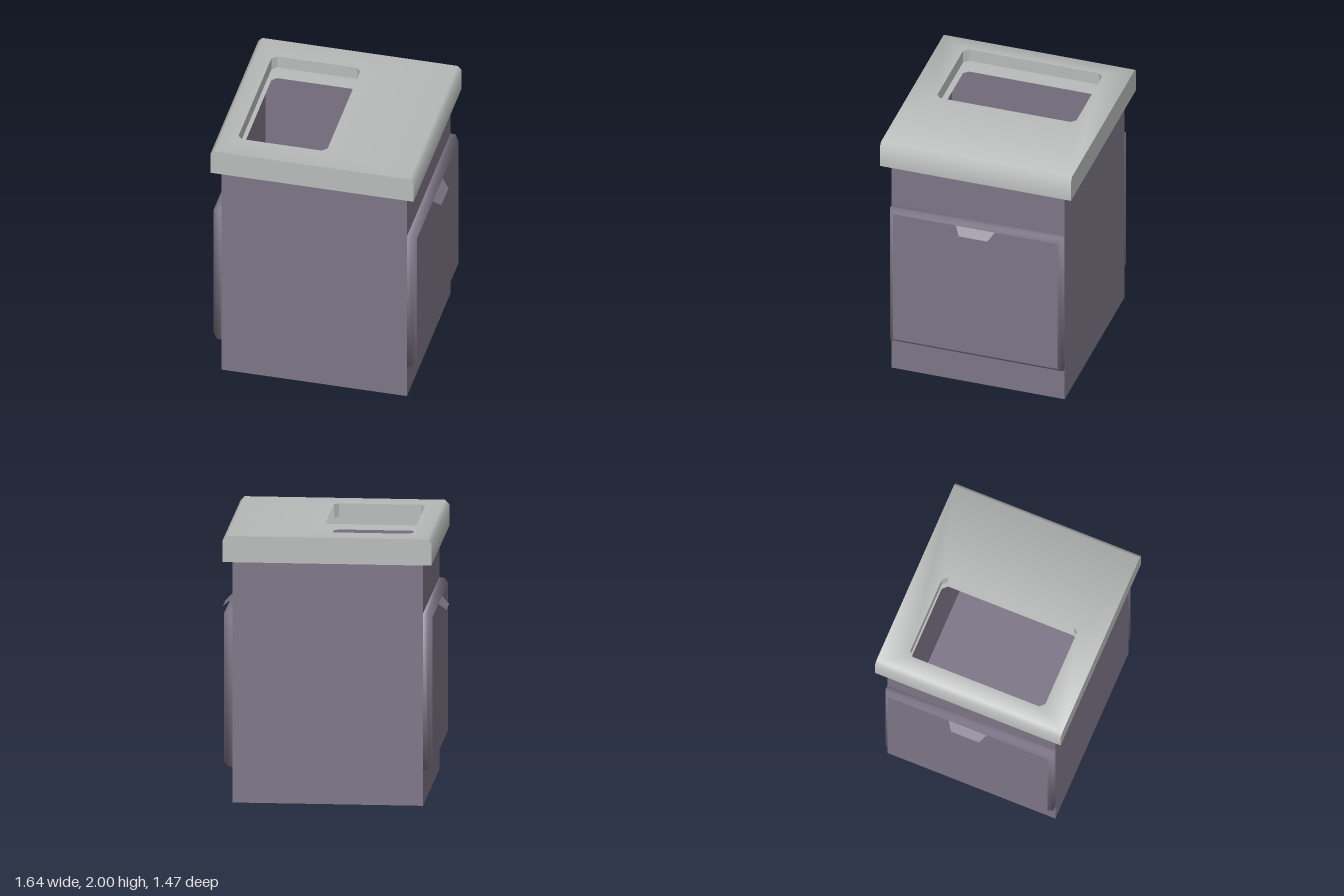
import * as THREE from 'three';

const grey = new THREE.MeshStandardMaterial({ color: 0xb9bbbb, side: THREE.DoubleSide });
grey.name = 'light grey';
const purple = new THREE.MeshStandardMaterial({ color: 0x7d7586 });
purple.name = 'dusty purple';

const TOP = 2, BASE = 1.805, CH = 0.03;       // lid top, lid underside, lid chamfer
const LX = 0.765, LZ = 0.735;                 // lid half sizes
const BX = 0.698, BZ = 0.665, WALL = 0.006;   // body half sizes, wall thickness

// octagonal opening, listed from the right edge round to the right edge again
const hole = [
  [0.06, 0.5], [0.025, 0.535], [-0.575, 0.535], [-0.61, 0.5],
  [-0.61, -0.5], [-0.575, -0.535], [0.025, -0.535], [0.06, -0.5],
];

function add(parent, name, geometry, material) {
  const m = new THREE.Mesh(geometry, material);
  m.name = name;
  parent.add(m);
  return m;
}

function buffer(positions, index, normals) {
  const g = new THREE.BufferGeometry();
  g.setAttribute('position', new THREE.Float32BufferAttribute(positions, 3));
  g.setIndex(index);
  if (normals) g.setAttribute('normal', new THREE.Float32BufferAttribute(normals, 3));
  else g.computeVertexNormals();
  return g;
}

function rect(hx, hy) {
  return [[-hx, -hy], [hx, -hy], [hx, hy], [-hx, hy]];
}

function shapeOf(points, holePoints) {
  const vecs = (list) => list.map(([x, y]) => new THREE.Vector2(x, y));
  const s = new THREE.Shape(vecs(points));
  if (holePoints) s.holes.push(new THREE.Path(vecs(holePoints)));
  return s;
}

// sweep of [x, y, nx, ny] points along z with given normals
function strip(profile) {
  const pos = [], nor = [], idx = [];
  profile.forEach(([x, y, nx, ny], i) => {
    pos.push(x, y, LZ, x, y, -LZ);
    nor.push(nx, ny, 0, nx, ny, 0);
    const a = i * 2;
    if (i < profile.length - 1) idx.push(a, a + 2, a + 1, a + 1, a + 2, a + 3);
  });
  return buffer(pos, idx, nor);
}

function makeLid() {
  const lid = new THREE.Group();
  lid.name = 'lid';

  // top sheet, its outer normals leaning into the chamfers
  const top = new THREE.ShapeGeometry(shapeOf(rect(LX - CH, LZ), hole)).rotateX(-Math.PI / 2);
  const p = top.attributes.position, n = top.attributes.normal;
  for (let i = 0; i < p.count; i++) {
    const x = p.getX(i);
    if (Math.abs(x) > 0.7) n.setXYZ(i, Math.sign(x) * 0.38, 0.92, 0);
  }
  add(lid, 'lidTop', top, grey).position.y = TOP;

  // chamfered left and right sides
  const side = [[LX - CH, TOP, 0.38, 0.92], [LX, TOP - CH, 0.92, 0.38], [LX, BASE, 1, 0]];
  add(lid, 'lidLeftSide', strip(side), grey);
  add(lid, 'lidRightSide',
    strip(side.map(([x, y, nx, ny]) => [-x, y, -nx, ny]).reverse()), grey);

  // front and back rims
  const rim = new THREE.ShapeGeometry(shapeOf([
    [-LX, BASE], [LX, BASE], [LX, TOP - CH], [LX - CH, TOP], [-LX + CH, TOP], [-LX, TOP - CH],
  ]));
  add(lid, 'lidFront', rim, grey).position.z = LZ;
  const back = add(lid, 'lidBack', rim, grey);
  back.position.z = -LZ;
  back.rotation.y = Math.PI;

  // lower sheet, seen through the opening and from beneath
  const sheet = new THREE.ShapeGeometry(shapeOf(rect(LX, LZ), hole)).rotateX(-Math.PI / 2);
  add(lid, 'lidUnderside', sheet, grey).position.y = BASE;

  // lip hanging from three sides of the opening
  const pos = [], idx = [];
  for (let i = 0; i < hole.length - 1; i++) {
    const [x0, z0] = hole[i], [x1, z1] = hole[i + 1], a = i * 4;
    pos.push(x0, TOP, z0, x1, TOP, z1, x1, TOP - 0.1, z1, x0, TOP - 0.1, z0);
    idx.push(a, a + 1, a + 2, a, a + 2, a + 3);
  }
  add(lid, 'openingLip', buffer(pos, idx), grey);
  return lid;
}

function makeBody() {
  const body = new THREE.Group();
  body.name = 'body';
  // hollow walls, open at the top
  const walls = new THREE.ExtrudeGeometry(
    shapeOf(rect(BX, BZ), rect(BX - WALL, BZ - WALL)),
    { depth: BASE - 0.002, bevelEnabled: false }).rotateX(-Math.PI / 2);
  add(body, 'bodyWalls', walls, purple);
  const floor = new THREE.BoxGeometry(2 * (BX - WALL), WALL, 2 * (BZ - WALL));
  add(body, 'bodyFloor', floor, purple).position.y = WALL / 2;
  return body;
}

// raised side panel facing +x
function makePanel(name) {
  const panel = new THREE.Group();
  panel.name = name;
  const midY = 0.852, hy = 0.583, bevel = 0.033;
  const pos = [], idx = [];
  [[BX, 0], [0.735, 0], [LX, bevel]].forEach(([x, inset], k) => {
    const y = hy - inset, z = BZ - inset;
    pos.push(x, midY - y, z, x, midY - y, -z, x, midY + y, -z, x, midY + y, z);
    if (k === 2) return;
    for (let i = 0; i < 4; i++) {
      const a = k * 4 + i, b = k * 4 + (i + 1) % 4;
      idx.push(a, b, b + 4, a, b + 4, a + 4);
    }
  });
  add(panel, 'panelBevel', buffer(pos, idx), purple);

  const face = new THREE.PlaneGeometry(2 * (BZ - bevel), 2 * (hy - bevel)).rotateY(Math.PI / 2);
  add(panel, 'panelFace', face, purple).position.set(LX, midY, 0);

  // sloping finger pull at the top edge
  add(panel, 'fingerPull', buffer(
    [0.82, 1.35, 0.11, 0.82, 1.35, -0.11, LX, 1.402, -0.15, LX, 1.402, 0.15],
    [0, 1, 2, 0, 2, 3]), purple);
  return panel;
}

export function createModel() {
  const model = new THREE.Group();
  model.name = 'cabinet';
  const rightPanel = makePanel('rightPanel');
  rightPanel.rotation.y = Math.PI;
  model.add(makeBody(), makeLid(), makePanel('leftPanel'), rightPanel);
  return model;
}
